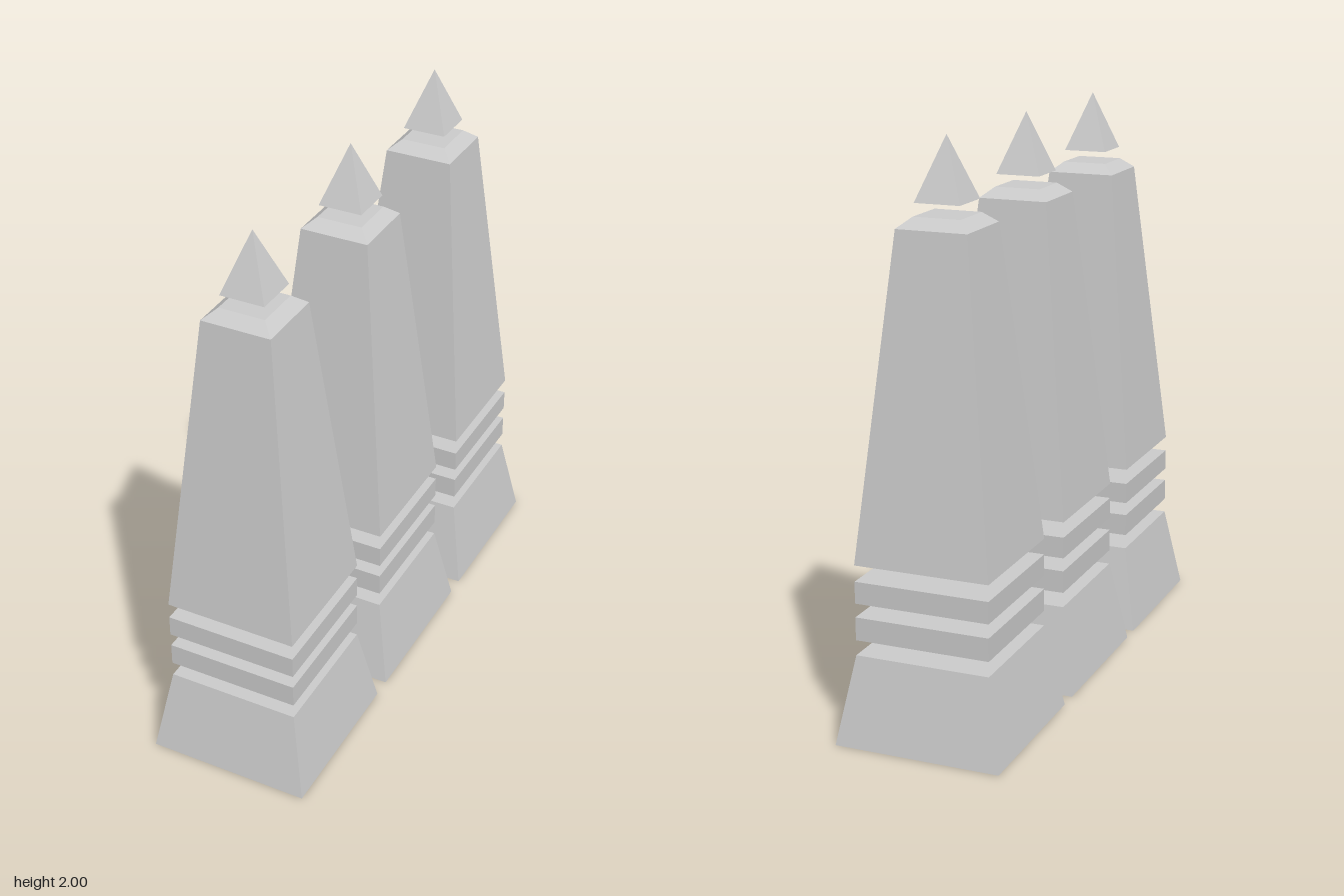
import * as THREE from 'three';

const material = new THREE.MeshStandardMaterial({ color: 0xcccccc, flatShading: true });

// Square block between two heights, given its half widths at bottom and top
function taperedBlock(name, y0, y1, bottom, top) {
  const geometry = new THREE.CylinderGeometry(top * Math.SQRT2, bottom * Math.SQRT2, y1 - y0, 4);
  geometry.rotateY(Math.PI / 4);
  geometry.translate(0, (y0 + y1) / 2, 0);
  const mesh = new THREE.Mesh(geometry, material);
  mesh.name = name;
  return mesh;
}

// Shaft and its bevelled shoulder as one closed solid
function createShaft() {
  const profile = [[0, 0.62], [0.237, 0.62], [0.124, 1.712], [0.082, 1.747], [0, 1.747]];
  const points = profile.map(([r, y]) => new THREE.Vector2(r * Math.SQRT2, y));
  const geometry = new THREE.LatheGeometry(points, 4);
  geometry.rotateY(Math.PI / 4);
  const mesh = new THREE.Mesh(geometry, material);
  mesh.name = 'shaft';
  return mesh;
}

function createObelisk() {
  const obelisk = new THREE.Group();
  obelisk.name = 'obelisk';
  obelisk.add(
    taperedBlock('base', 0, 0.307, 0.293, 0.237),
    taperedBlock('lowerBand', 0.36, 0.44, 0.237, 0.237),
    taperedBlock('upperBand', 0.488, 0.564, 0.237, 0.237),
    createShaft(),
    taperedBlock('tip', 1.79, 2, 0.079, 0),
  );
  return obelisk;
}

export function createModel() {
  const model = new THREE.Group();
  model.name = 'obeliskRow';
  // Three equal obelisks in a row from back to front
  for (const z of [-0.655, 0, 0.655]) {
    const obelisk = createObelisk();
    obelisk.position.z = z;
    model.add(obelisk);
  }
  return model;
}
